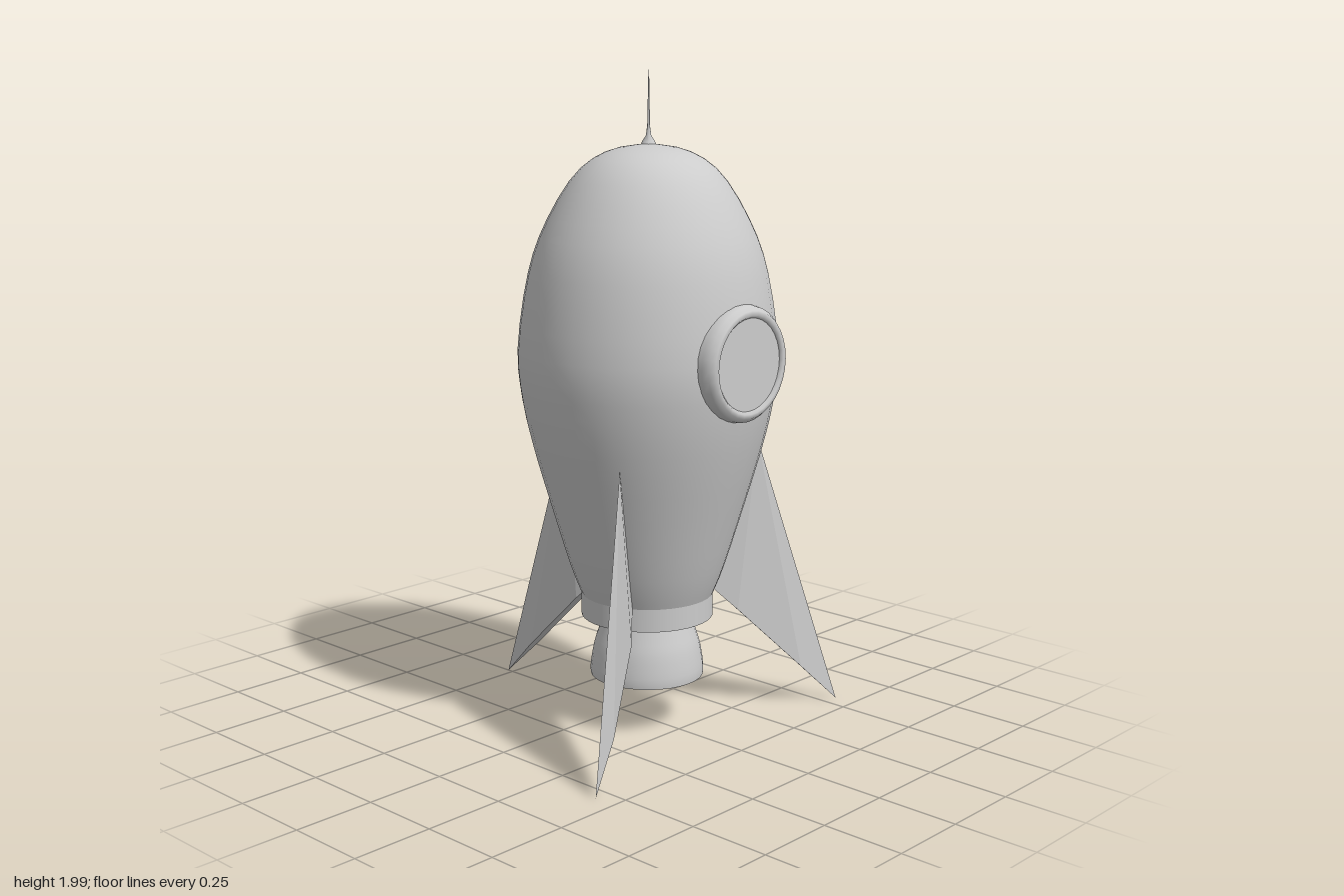
import * as THREE from 'three';

const grey = () => new THREE.MeshStandardMaterial({ color: 0xcccccc });
const vecs = (pts) => pts.map(([r, y]) => new THREE.Vector2(r, y));

export function createModel() {
  const group = new THREE.Group();
  const rocket = new THREE.Group();
  rocket.name = 'rocket';
  rocket.position.z = 0.115; // fins reach further back than forward
  group.add(rocket);

  const add = (name, geometry, options = {}) => {
    const mesh = new THREE.Mesh(geometry, Object.assign(grey(), options));
    mesh.name = name;
    rocket.add(mesh);
    return mesh;
  };

  // Egg-shaped hull, profile from bottom to top
  const hull = new THREE.SplineCurve(vecs([
    [0.2, 0.42], [0.235, 0.51], [0.29, 0.69], [0.345, 0.88], [0.378, 1.03], [0.39, 1.18],
    [0.36, 1.395], [0.31, 1.545], [0.22, 1.695], [0.12, 1.766], [0, 1.788],
  ]));
  add('hull', new THREE.LatheGeometry(hull.getPoints(28), 40));

  // Collar below the hull, with a flat underside
  const collar = add('collar', new THREE.CylinderGeometry(0.202, 0.202, 0.07, 40));
  collar.position.y = 0.39;

  // Open bell nozzle
  const bell = new THREE.SplineCurve(vecs([
    [0.174, 0.165], [0.174, 0.195], [0.163, 0.26], [0.147, 0.31], [0.13, 0.36],
  ]));
  add('nozzle', new THREE.LatheGeometry(bell.getPoints(12), 32), { side: THREE.DoubleSide });

  // Porthole frame and glass, turned to face forward
  const porthole = new THREE.Group();
  porthole.name = 'porthole';
  porthole.position.y = 1.175;
  porthole.rotation.x = Math.PI / 2;
  rocket.add(porthole);
  const frame = add('portholeFrame', new THREE.LatheGeometry(vecs([
    [0.172, 0.33], [0.172, 0.365], [0.168, 0.387], [0.156, 0.402], [0.143, 0.404], [0.135, 0.396], [0.135, 0.36],
  ]), 32), { side: THREE.DoubleSide });
  const glass = add('portholeGlass', new THREE.CylinderGeometry(0.137, 0.137, 0.04, 32));
  glass.position.y = 0.375;
  porthole.add(frame, glass);

  // Fin: sharp outer edge, lower edge thickened between points 2 and 3
  const outline = [[0.355, 0.88], [0.195, 0.43], [0.29, 0.342], [0.505, 0.136], [0.635, 0.01]];
  const half = [0, 0, 0.02, 0.02, 0];
  const corner = (i, side) => [outline[i][0], outline[i][1], side * half[i]];
  const corners = [];
  for (let i = 1; i < 4; i++) {
    // two side faces and the underside between neighbouring points
    corners.push(corner(0, 1), corner(i, 1), corner(i + 1, 1));
    corners.push(corner(0, -1), corner(i + 1, -1), corner(i, -1));
    if (i > 1) corners.push(corner(i, 1), corner(i, -1), corner(i + 1, 1));
    if (i < 3) corners.push(corner(i, -1), corner(i + 1, -1), corner(i + 1, 1));
  }
  const finGeometry = new THREE.BufferGeometry();
  finGeometry.setAttribute('position', new THREE.Float32BufferAttribute(corners.flat(), 3));
  finGeometry.computeVertexNormals();
  ['backFin', 'rightFin', 'leftFin'].forEach((name, i) => {
    const fin = add(name, finGeometry, { flatShading: true });
    fin.rotation.y = Math.PI / 2 + (i * Math.PI * 2) / 3;
  });

  // Antenna: small flared foot and a thin needle
  add('antenna', new THREE.LatheGeometry(vecs([
    [0.024, 1.78], [0.019, 1.793], [0.008, 1.81], [0.004, 1.84], [0.003, 1.9], [0.001, 2],
  ]), 8), { side: THREE.DoubleSide });

  return group;
}
